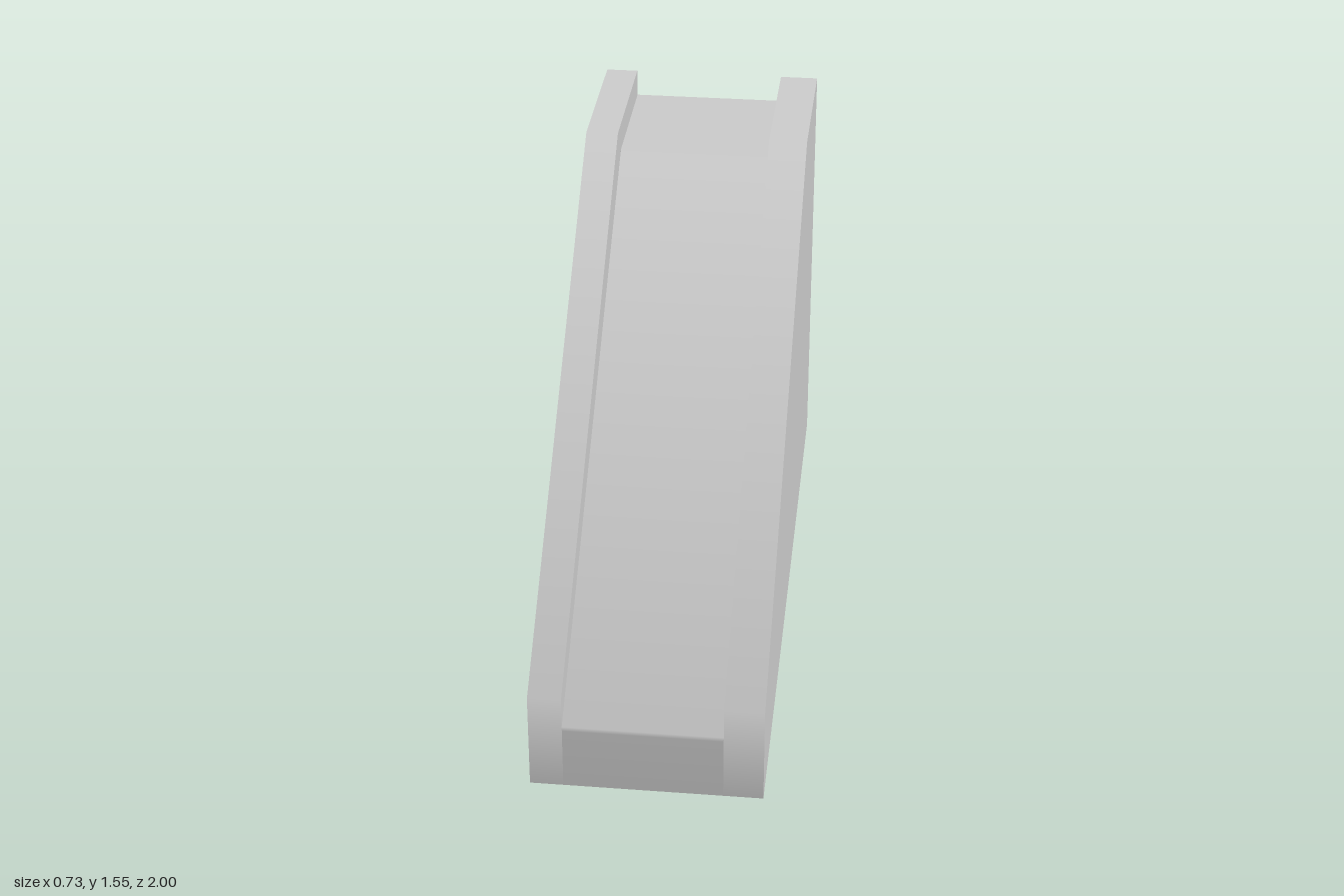
import * as THREE from 'three';

const grey = new THREE.MeshStandardMaterial({ color: 0xcccccc, side: THREE.DoubleSide });
grey.name = 'plain grey';

// Outer width, channel edges, and the side profiles as [z, y] points from back to front
const OUT = 0.365, IN_L = 0.24, IN_R = -0.26;
const rail = [[-1, 1.55], [-0.475, 1.55], [1, 0.325]];
const floor = [[-1, 1.46], [-0.545, 1.46], [1, 0.22]];
const base = [[-1, 0.16], [-0.475, 0.118], [1, 0]];

// Skin between two matching rows of points; optional normals give soft shading
function ribbon(name, a, b, normals) {
  const pos = [], idx = [], nor = [];
  a.forEach((p, i) => {
    pos.push(...p, ...b[i]);
    if (normals) nor.push(...normals[i], ...normals[i]);
    if (i) {
      const k = 2 * (i - 1);
      idx.push(k, k + 3, k + 1, k, k + 2, k + 3);
    }
  });
  const g = new THREE.BufferGeometry();
  g.setAttribute('position', new THREE.Float32BufferAttribute(pos, 3));
  g.setIndex(idx);
  if (normals) g.setAttribute('normal', new THREE.Float32BufferAttribute(nor, 3));
  else g.computeVertexNormals();
  const mesh = new THREE.Mesh(g, grey);
  mesh.name = name;
  return mesh;
}

const at = (x, profile) => profile.map(([z, y]) => [x, y, z]);

// Strip across x following a profile of [z, y, tilt]; tilt turns the normal from up (0) to front (90)
function softStrip(name, x0, x1, profile) {
  const normals = profile.map(([, , tilt]) => {
    const t = THREE.MathUtils.degToRad(tilt);
    return [0, Math.cos(t), Math.sin(t)];
  });
  return ribbon(name, at(x0, profile), at(x1, profile), normals);
}

export function createModel() {
  const group = new THREE.Group();
  group.name = 'slide';

  // Rail tops, running over the bend and down the front
  const railTop = [[-1, 1.55, 8], [-0.475, 1.55, 22], [1, 0.325, 62], [1, 0, 90]];
  group.add(softStrip('leftRailTop', IN_L, OUT, railTop));
  group.add(softStrip('rightRailTop', -OUT, IN_R, railTop));

  // Channel floor: platform, chute and front lip
  group.add(softStrip('chuteFloor', IN_R, IN_L, [
    [-1, 1.46, 0], [-0.555, 1.46, 0], [-0.535, 1.452, 28],
    [1, 0.225, 62], [1, 0.21, 88], [1, 0, 90],
  ]));

  // Inner faces of the rails
  group.add(ribbon('rightRailInside', at(IN_R, rail), at(IN_R, floor)));
  group.add(ribbon('leftRailInside', at(IN_L, floor), at(IN_L, rail)));

  // Outer side walls, open underneath
  group.add(ribbon('leftWall', at(OUT, rail), at(OUT, base)));
  group.add(ribbon('rightWall', at(-OUT, base), at(-OUT, rail)));

  // Back wall with the channel notch
  const notch = [[-OUT, 1.55], [IN_R, 1.55], [IN_R, 1.46], [IN_L, 1.46], [IN_L, 1.55], [OUT, 1.55]];
  group.add(ribbon('backWall',
    notch.map(([x, y]) => [x, y, -1]),
    notch.map(([x]) => [x, 0.16, -1])));

  return group;
}
